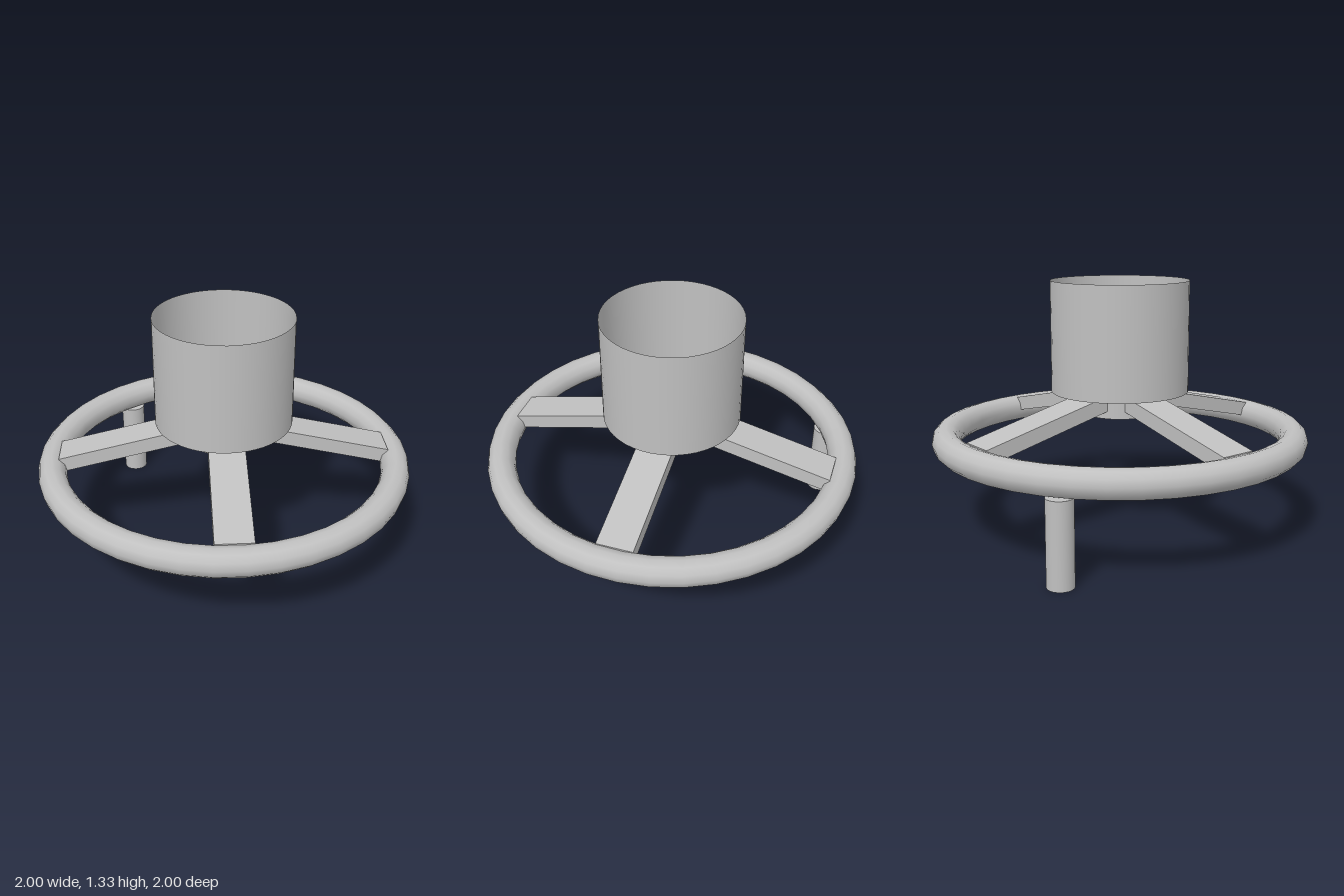
import * as THREE from 'three';

export function createModel() {
  const model = new THREE.Group();
  const metal = new THREE.MeshStandardMaterial({ color: 0xc0c0c0, side: THREE.DoubleSide });
  metal.name = 'greyMetal';

  const add = (name, geometry, x = 0, y = 0, z = 0) => {
    const mesh = new THREE.Mesh(geometry, metal);
    mesh.name = name;
    mesh.position.set(x, y, z);
    model.add(mesh);
    return mesh;
  };

  // Round grip rim
  add('rim', new THREE.TorusGeometry(0.923, 0.075, 12, 40).rotateX(Math.PI / 2), 0, 0.5, 0);

  // Thin-walled cup, open at the top, with a flat floor
  add('cupWall', new THREE.CylinderGeometry(0.365, 0.365, 0.585, 48, 1, true), 0, 1.0325, 0);
  add('cupFloor', new THREE.CircleGeometry(0.365, 48).rotateX(-Math.PI / 2), 0, 0.74, 0);

  // Short hub under the cup
  add('hub', new THREE.CylinderGeometry(0.186, 0.186, 0.12, 40), 0, 0.679, 0);

  // Four flat spokes sloping from the hub down to the rim
  const spokeSide = new THREE.Shape([
    new THREE.Vector2(0, 0.775), new THREE.Vector2(0, 0.695),
    new THREE.Vector2(0.88, 0.49), new THREE.Vector2(0.88, 0.57),
  ]);
  const spokeGeometry = new THREE.ExtrudeGeometry(spokeSide, { depth: 0.19, bevelEnabled: false });
  spokeGeometry.translate(0, 0, -0.095);
  for (let i = 0; i < 4; i++) {
    add('spoke' + (i + 1), spokeGeometry).rotation.y = -Math.PI / 6 + i * Math.PI / 2;
  }

  // Crank handle hanging below the back of the rim
  add('handle', new THREE.CylinderGeometry(0.067, 0.067, 0.427, 32), -0.071, 0.2135, -0.922);

  return model;
}
